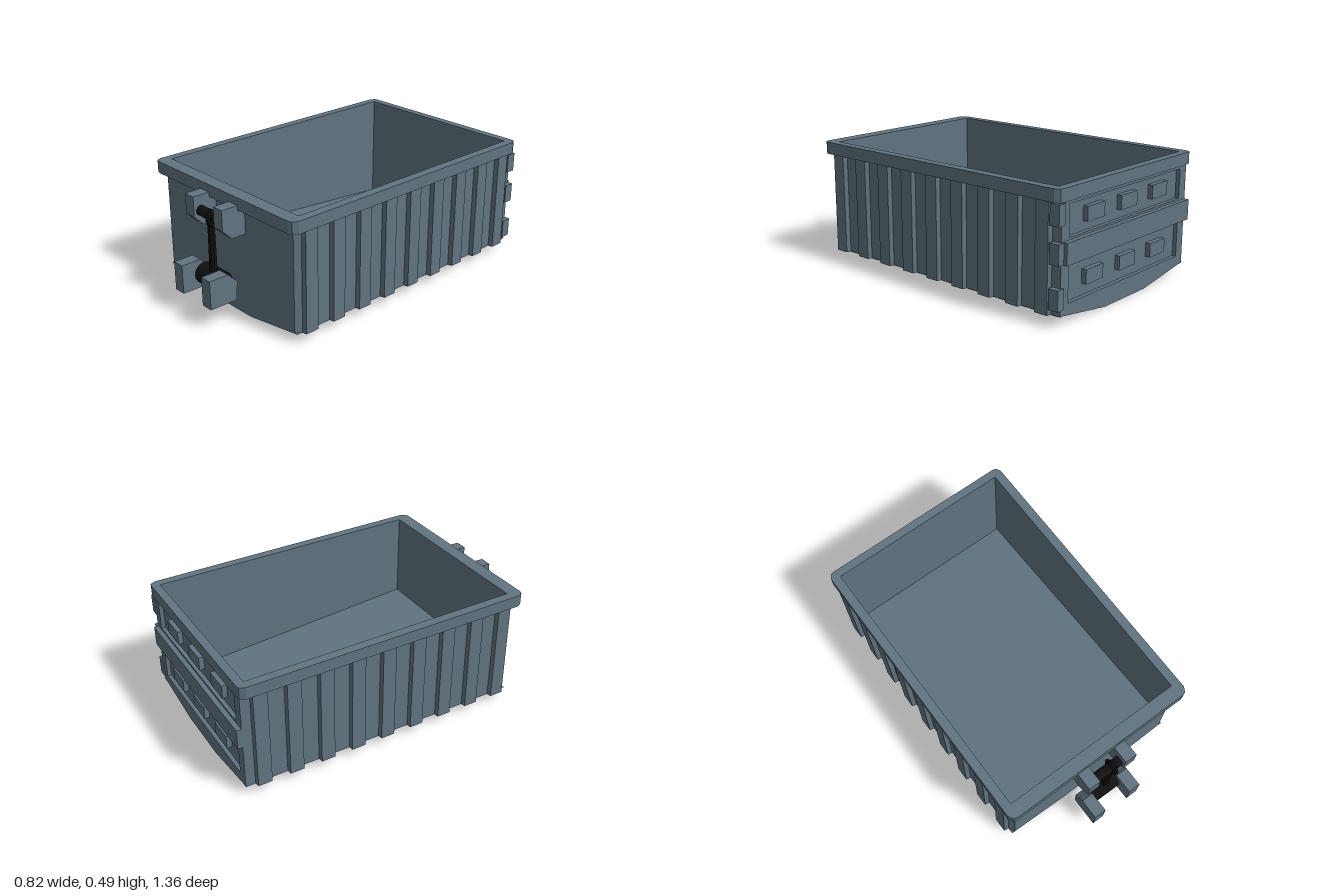
import * as THREE from 'three';

const steel = new THREE.MeshStandardMaterial({ color: 0x607480, flatShading: true });
const black = new THREE.MeshStandardMaterial({ color: 0x101010, flatShading: true });

const toShape = (pts) => new THREE.Shape(pts.map(([x, y]) => new THREE.Vector2(x, y)));
const rect = (x0, y0, x1, y1) => [[x0, y0], [x1, y0], [x1, y1], [x0, y1]];
const mirrorX = (half) => [...half, ...half.map(([x, y]) => [-x, y]).reverse()];

// Extrudes an outline with optional holes along +z from z = 0
function extrude(outline, depth, holes = []) {
  const shape = toShape(outline);
  shape.holes = holes.map(toShape);
  return new THREE.ExtrudeGeometry(shape, { depth, bevelEnabled: false });
}

// Plan outlines are [x, z] pairs, raised from y0 to y1
function planSolid(outline, y0, y1, hole) {
  const flip = (pts) => pts.map(([x, z]) => [x, -z]);
  return extrude(flip(outline), y1 - y0, [flip(hole)]).rotateX(-Math.PI / 2).translate(0, y0, 0);
}

// Side profiles are [z, y] pairs, extruded across x and centred on cx
function sideSolid(profile, width, cx) {
  return extrude(profile, width).rotateY(-Math.PI / 2).translate(cx + width / 2, 0, 0);
}

export function createModel() {
  const group = new THREE.Group();
  const add = (name, geometry, material = steel) => {
    const mesh = new THREE.Mesh(geometry, material);
    mesh.name = name;
    group.add(mesh);
    return mesh;
  };
  const box = (name, x0, x1, y0, y1, z0, z1) =>
    add(name, new THREE.BoxGeometry(x1 - x0, y1 - y0, z1 - z0)
      .translate((x0 + x1) / 2, (y0 + y1) / 2, (z0 + z1) / 2));

  // Walls with nine vertical ribs down each side
  const side = [[0.375, 0.19], [0.388, 0.166]];
  for (let i = 0; i < 9; i++) {
    const z = 0.134 - i * 0.1307;
    side.push([0.388, z + 0.031], [0.407, z + 0.028], [0.407, z - 0.028], [0.388, z - 0.031]);
  }
  side.push([0.388, -0.965]);
  const cavity = rect(-0.375, -0.955, 0.375, 0.165);
  add('ribbedWalls', planSolid(mirrorX(side), 0.037, 0.437, cavity));

  // Overhanging top rim with clipped corners
  const rim = mirrorX([[0.385, 0.22], [0.4, 0.215], [0.411, 0.195],
    [0.411, -0.965], [0.4, -0.985], [0.385, -0.988]]);
  add('topRim', planSolid(rim, 0.437, 0.485, cavity));

  // Keel-shaped underside and sloping inner floor
  const keel = mirrorX([[0.388, 0.038], [0.375, 0.037], [0.125, 0]]);
  add('underside', extrude(keel, 1.17).translate(0, 0, -0.98));
  add('innerFloor', sideSolid([[-0.957, 0.03], [0.167, 0.03], [0.167, 0.13], [-0.957, 0.045]], 0.752, 0));

  // Tailgate: frame with two sunken fields, a middle band and raised pads
  const fields = [rect(-0.345, 0.075, 0.345, 0.212), rect(-0.345, 0.308, 0.345, 0.425)];
  add('tailgateFrame', extrude(rect(-0.388, 0.037, 0.388, 0.437), 0.017, fields).translate(0, 0, -0.981));
  box('tailgateBand', -0.388, 0.38, 0.22, 0.3, -1, -0.978);
  for (const y of [0.145, 0.37])
    for (const x of [-0.2, 0, 0.2])
      box('tailgatePad', x - 0.05, x + 0.05, y - 0.027, y + 0.027, -0.985, -0.96);

  // Tailgate hinges along the left edge
  for (const y of [0.1, 0.26, 0.395])
    box('hinge', 0.375, 0.408, y - 0.038, y + 0.038, -0.986, -0.946);

  // Pairs of latch brackets on the front
  const upper = [[0.17, 0.335], [0.25, 0.335], [0.29, 0.375], [0.29, 0.455], [0.17, 0.455]];
  const lower = [[0.24, 0.085], [0.357, 0.085], [0.357, 0.2], [0.275, 0.2], [0.235, 0.16]];
  for (const s of [-1, 1]) {
    add('upperBracket', sideSolid(upper, 0.05, s * 0.085));
    add('lowerBracket', sideSolid(lower, 0.05, s * 0.085));
  }

  // Dark cross bars, connecting rod and its eye
  const bar = (name, r, y) => add(name,
    new THREE.CylinderGeometry(r, r, 0.12, 16).rotateZ(Math.PI / 2).translate(0, y, 0.26), black);
  bar('upperBar', 0.02, 0.395);
  bar('lowerBar', 0.042, 0.142);
  add('rod', new THREE.CylinderGeometry(0.013, 0.015, 0.22, 10).translate(0.01, 0.27, 0.267), black);
  add('rodEye', new THREE.TorusGeometry(0.025, 0.01, 8, 16).rotateY(Math.PI / 2)
    .translate(0.022, 0.39, 0.262), black);

  return group;
}
